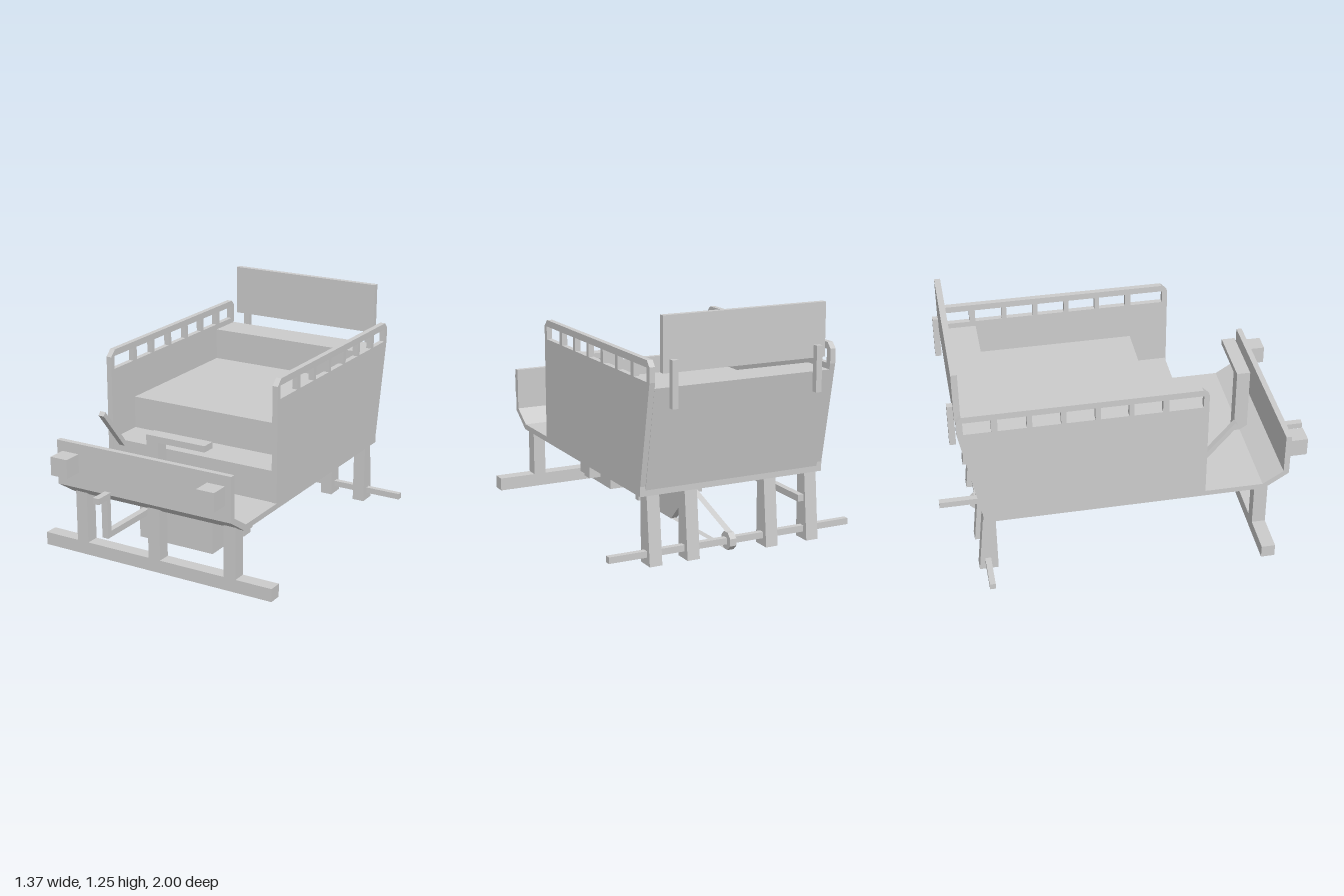
import * as THREE from 'three';

export function createModel() {
  const model = new THREE.Group();
  const mat = new THREE.MeshStandardMaterial({ color: 0xcccccc, flatShading: true });
  const thin = new THREE.MeshStandardMaterial({ color: 0xcccccc, flatShading: true, side: THREE.DoubleSide });

  const add = (name, geo, material = mat) => {
    const mesh = new THREE.Mesh(geo, material);
    mesh.name = name;
    model.add(mesh);
    return mesh;
  };
  // Box given by its limits on each axis
  const box = (name, x0, x1, y0, y1, z0, z1) =>
    add(name, new THREE.BoxGeometry(x1 - x0, y1 - y0, z1 - z0)
      .translate((x0 + x1) / 2, (y0 + y1) / 2, (z0 + z1) / 2));
  // Side profile of [z, y] points, extruded across x
  const path = (pts) => pts.map(([z, y]) => new THREE.Vector2(z, y));
  const profile = (name, pts, x0, x1, holes = []) => {
    const shape = new THREE.Shape(path(pts));
    shape.holes = holes.map((h) => new THREE.Path(path(h)));
    const geo = new THREE.ExtrudeGeometry(shape, { depth: x1 - x0, bevelEnabled: false });
    return add(name, geo.rotateY(-Math.PI / 2).translate(x1, 0, 0));
  };
  // Eight-sided disc lying across x, measured to its flats
  const octagon = (name, apothem, x0, x1, y, z) =>
    add(name, new THREE.CylinderGeometry(apothem / Math.cos(Math.PI / 8), apothem / Math.cos(Math.PI / 8),
      x1 - x0, 8, 1, false, Math.PI / 8).rotateZ(Math.PI / 2).translate((x0 + x1) / 2, y, z));

  // Floor that sweeps up into the dashboard
  profile('floorAndDash', [[-0.79, 0.35], [0.70, 0.35], [0.83, 0.435], [0.83, 0.675],
    [0.80, 0.675], [0.80, 0.45], [0.69, 0.38], [-0.79, 0.38]], -0.515, 0.515);

  // Stepped bench and sloping back between the side panels
  profile('bench', [[0.375, 0.38], [0.375, 0.55], [0.17, 0.55], [0.17, 0.725], [-0.69, 0.725],
    [-0.69, 0.9], [-0.887, 0.9], [-0.79, 0.38]], -0.486, 0.486);

  // Side panels with a row of openings under the rail
  const openings = [[0.351, 0.174], [0.142, -0.004], [-0.03, -0.174], [-0.2, -0.346],
    [-0.373, -0.517], [-0.544, -0.689], [-0.721, -0.86]]
    .map(([a, b]) => [[a, 0.93], [a, 1.0], [b, 1.0], [b, 0.93]]);
  const panel = [[0.38, 0.35], [0.38, 1.0], [0.345, 1.035], [-0.865, 1.035],
    [-0.892, 1.005], [-0.892, 0.93], [-0.79, 0.4], [-0.79, 0.35]];
  profile('leftPanel', panel, 0.485, 0.515, openings);
  profile('rightPanel', panel, -0.515, -0.485, openings);

  // Raised back board on two posts
  box('backBoard', -0.45, 0.445, 0.97, 1.245, -0.895, -0.863);
  for (const x of [-0.4, 0.395]) box('backBoardPost', x - 0.016, x + 0.016, 0.8, 1.035, -0.925, -0.892);

  // Headlamps
  for (const x of [-0.433, 0.43]) box('headlamp', x - 0.05, x + 0.05, 0.52, 0.62, 0.83, 0.93);

  // Front beam, legs, steering column and tiller
  box('frontBeam', -0.685, 0.685, 0.02, 0.09, 0.657, 0.73);
  for (const x of [-0.447, 0.447]) box('frontLeg', x - 0.034, x + 0.034, 0.09, 0.37, 0.657, 0.73);
  box('steeringColumn', -0.035, 0.035, 0.09, 0.727, 0.657, 0.73);
  box('tiller', -0.035, 0.305, 0.727, 0.76, 0.657, 0.73);

  // Hand lever
  profile('handLever', [[0.54, 0.755], [0.556, 0.735], [0.36, 0.5], [0.34, 0.517]], -0.45, -0.417);

  // Rear legs and axle
  for (const x of [-0.447, -0.208, 0.24, 0.447])
    profile('rearLeg', [[-0.725, 0.35], [-0.725, 0], [-0.825, 0], [-0.79, 0.35]], x - 0.034, x + 0.034);
  box('rearAxle', -0.685, 0.685, 0.04, 0.073, -0.793, -0.762);

  // Engine with two side blocks
  box('engine', -0.205, 0.24, 0.105, 0.352, 0.143, 0.552);
  box('engineBlock', 0.24, 0.305, 0.245, 0.312, 0.383, 0.45);
  box('engineBlock', 0.24, 0.305, 0.14, 0.21, 0.278, 0.345);

  // Starting crank
  box('crankShaft', -0.175, -0.14, 0.247, 0.28, 0.55, 0.93);
  box('crankArm', -0.175, -0.14, 0.28, 0.485, 0.9, 0.93);
  box('crankHandle', -0.175, -0.14, 0.453, 0.485, 0.93, 1.0);

  // Drive wheel carried between two hangers
  octagon('driveWheel', 0.157, 0, 0.035, 0.157, -0.118);
  for (const x of [-0.165, 0.19]) box('wheelHanger', x - 0.016, x + 0.016, 0.11, 0.352, -0.134, -0.102);
  box('wheelAxle', -0.165, 0.19, 0.143, 0.175, -0.134, -0.102);
  box('driveShaft', 0.09, 0.122, 0.143, 0.175, -0.134, 0.145);

  // Rear hub and the thin belt around it
  octagon('rearHub', 0.045, 0, 0.035, 0.056, -0.78);
  for (const [y0, y1] of [[0.101, 0.314], [0.011, 0.001]]) {
    const dz = 0.662, dy = y1 - y0;
    add('driveBelt', new THREE.PlaneGeometry(0.035, Math.hypot(dz, dy))
      .rotateX(Math.PI / 2 - Math.atan2(dy, dz)).translate(0.0175, (y0 + y1) / 2, -0.449), thin);
  }

  // Exhaust pipe on two brackets
  box('exhaustPipe', -0.277, -0.245, 0.28, 0.314, -1.0, 0.2);
  for (const z of [-0.015, -0.705]) box('exhaustBracket', -0.277, -0.245, 0.314, 0.352, z - 0.016, z + 0.016);

  return model;
}
